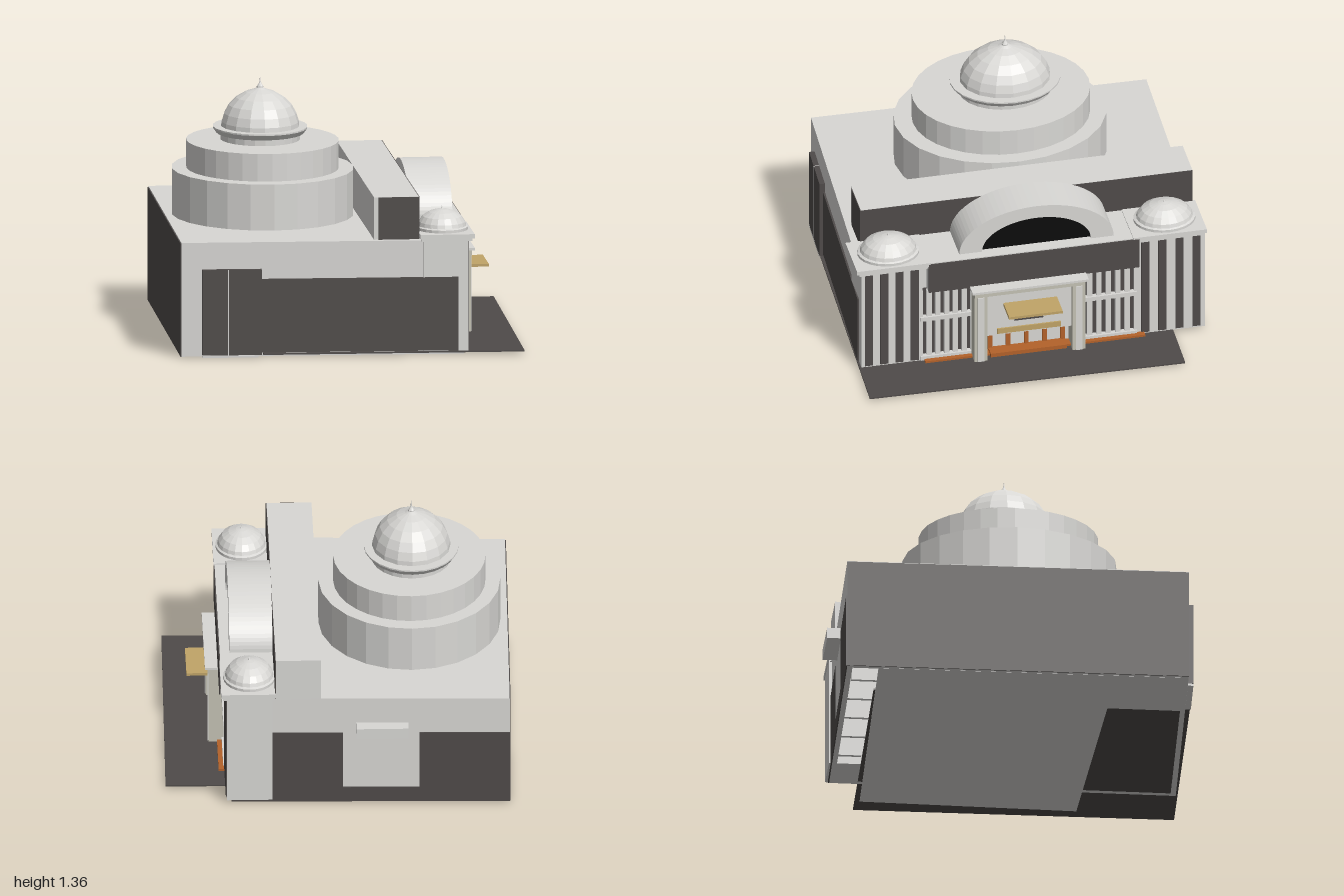
import * as THREE from 'three';

const mat = (name, color) => Object.assign(new THREE.MeshStandardMaterial({ color }), { name });
const white = mat('white plaster', 0xd8d7d4);
const dark = mat('dark stone', 0x4f4b49);
const black = mat('black glass', 0x0c0c0c);
const gold = mat('gold', 0xc0a468);
const orange = mat('orange wood', 0xb3622a);
const stone = mat('pale stone', 0xc4c2b4);

const faceted = (geo) => {
  const g = geo.toNonIndexed();
  g.computeVertexNormals();
  return g;
};

export function createModel() {
  const root = new THREE.Group();
  root.name = 'domedHall';

  const add = (name, geo, material, parent = root) => {
    const m = new THREE.Mesh(geo, material);
    m.name = name;
    parent.add(m);
    return m;
  };
  // Box given by its minimum and maximum on each axis
  const box = (name, material, x0, x1, y0, y1, z0, z1, parent = root) => {
    const m = add(name, new THREE.BoxGeometry(x1 - x0, y1 - y0, z1 - z0), material, parent);
    m.position.set((x0 + x1) / 2, (y0 + y1) / 2, (z0 + z1) / 2);
    return m;
  };
  // Upright prism over a plan outline of [x, z] points
  const prism = (name, material, plan, y0, y1, hole) => {
    const pts = (p) => p.map(([x, z]) => new THREE.Vector2(x, -z));
    const shape = new THREE.Shape(pts(plan));
    if (hole) shape.holes.push(new THREE.Path(pts(hole)));
    const g = new THREE.ExtrudeGeometry(shape, { depth: y1 - y0, bevelEnabled: false });
    g.rotateX(-Math.PI / 2).translate(0, y0, 0);
    return add(name, g, material);
  };
  // Outline drawn across z and y, pushed out along x
  const alongX = (name, material, shape, x0, x1, z, y) => {
    const g = new THREE.ExtrudeGeometry(shape, { depth: x1 - x0, bevelEnabled: false, curveSegments: 20 });
    g.rotateY(Math.PI / 2);
    const m = add(name, g, material);
    m.position.set(x0, y, z);
    return m;
  };
  const lathe = (name, material, pts, sides, x, z, stretch) => {
    const g = new THREE.LatheGeometry(pts.map(([r, y]) => new THREE.Vector2(r, y)), sides);
    const m = add(name, faceted(g), material);
    m.position.set(x, 0, z);
    m.scale.z = stretch;
    return m;
  };

  // Slightly skewed plan of the hall
  const A = [-0.915, -0.94], B = [0.58, -0.905], C = [0.58, 0.965], D = [-0.94, 0.9];
  const inner = [[-0.89, -0.91], [0.55, -0.88], [0.55, 0.935], [-0.91, 0.875]];
  prism('walls', white, [A, B, C, D], 0.005, 0.6, inner);
  prism('roof', white, [A, B, C, D], 0.6, 0.625);
  prism('floor', white, [[-0.9, -0.77], [0.8, -0.72], [0.82, 0.45], [-0.5, 0.5], [-0.5, 0.92], [-0.92, 0.88]], 0.004, 0.012);
  prism('forecourt', dark, [[-0.6, -0.77], [0.93, -0.745], [0.905, 0.985], [-0.5, 0.945]], 0.014, 0.022);
  for (let i = 0; i < 6; i++) {
    const x = -0.7 + i * 0.24;
    box('innerPier', white, x - 0.01, x + 0.01, 0.02, 0.6, -0.9, -0.76);
  }

  // Panel lying along a wall line, between two x positions
  const wallPanel = (name, material, p, q, x0, x1, y0, y1, out) => {
    const zAt = (x) => p[1] + (q[1] - p[1]) * (x - p[0]) / (q[0] - p[0]);
    const a = zAt(x0), b = zAt(x1);
    return prism(name, material, [[x0, a], [x1, b], [x1, b + out], [x0, a + out]], y0, y1);
  };

  // Front wall cladding
  wallPanel('frontCladding', dark, D, C, -0.51, 0.55, 0.025, 0.425, 0.01);
  wallPanel('frontBlock', dark, D, C, -0.83, -0.51, 0.015, 0.48, 0.03);
  wallPanel('frontBlockSeam', white, D, C, -0.693, -0.687, 0.015, 0.48, 0.032);
  wallPanel('frontBlockBase', white, D, C, -0.83, -0.53, 0.002, 0.014, 0.03);

  // Back wall cladding around a plain bay with a balcony
  wallPanel('backCladding', dark, A, B, -0.915, -0.43, 0.005, 0.42, -0.006);
  wallPanel('backCladding', dark, A, B, -0.02, 0.58, 0.005, 0.42, -0.006);
  wallPanel('backCladding', dark, A, B, -0.43, -0.02, 0.005, 0.09, -0.006);
  box('balcony', white, -0.37, -0.09, 0.42, 0.48, -1, -0.92);

  // Rear end wall cladding
  prism('endCladding', dark, [[A[0] - 0.005, A[1]], A, D, [D[0] - 0.005, D[1]]], 0.005, 0.62);

  // Stepped oval drums and main dome
  lathe('lowerDrum', white, [[0.49, 0.62], [0.49, 0.875], [0.001, 0.875]], 24, -0.4, -0.02, 1.18);
  lathe('upperDrum', white, [[0.41, 0.87], [0.41, 1.025], [0.001, 1.025]], 32, -0.4, -0.025, 1.18);
  lathe('domeNeck', white, [[0.215, 1.02], [0.215, 1.06], [0.235, 1.06], [0.255, 1.088],
    [0.255, 1.096], [0.2, 1.096]], 24, -0.41, -0.05, 1.18);
  lathe('mainDome', white, [[0.212, 1.085], [0.209, 1.12], [0.195, 1.165], [0.17, 1.21], [0.13, 1.25],
    [0.08, 1.28], [0.035, 1.295], [0.015, 1.305]], 16, -0.41, -0.05, 1.17);
  lathe('mainFinial', white, [[0.018, 1.295], [0.018, 1.31], [0.008, 1.325], [0.004, 1.335], [0.0005, 1.365]],
    8, -0.41, -0.05, 1);

  // Long roof parapet, dark on its front and entrance faces
  box('roofParapet', white, 0.1, 0.342, 0.62, 0.856, -0.915, 0.91);
  box('parapetEndFace', dark, 0.125, 0.345, 0.625, 0.855, 0.91, 0.914);
  box('parapetLongFace', dark, 0.342, 0.346, 0.625, 0.855, -0.915, 0.912);

  // Barrel arch over the entrance
  const arch = new THREE.Shape();
  arch.moveTo(0.42, 0);
  arch.absellipse(0, 0, 0.425, 0.25, 0, Math.PI, false);
  arch.lineTo(-0.3, 0);
  arch.absellipse(0, 0, 0.3, 0.175, Math.PI, 0, true);
  arch.closePath();
  alongX('barrelArch', white, arch, 0.345, 0.578, -0.005, 0.655);
  const lunette = new THREE.Shape();
  lunette.absellipse(0, 0, 0.301, 0.176, 0, Math.PI, false);
  lunette.closePath();
  alongX('archWindow', black, lunette, 0.55, 0.558, -0.005, 0.655);

  // Fascia between the towers
  box('fascia', white, 0.34, 0.63, 0.47, 0.655, -0.56, 0.6);
  box('fasciaFace', dark, 0.63, 0.636, 0.47, 0.65, -0.56, 0.6);

  // Corner towers with stripes, caps and small domes
  for (const [z0, z1, zc] of [[0.63, 0.965, 0.79], [-0.925, -0.55, -0.73]]) {
    box('tower', white, 0.36, 0.605, 0.02, 0.64, z0, z1);
    const n = 4, step = (z1 - z0) / n;
    for (let i = 0; i < n; i++) {
      const z = z0 + step * (i + 0.5);
      box('towerStripe', dark, 0.605, 0.61, 0.03, 0.615, z - 0.022, z + 0.022);
    }
    box('towerCapLower', white, 0.35, 0.625, 0.62, 0.637, zc - 0.19, zc + 0.19);
    box('towerCap', white, 0.342, 0.635, 0.637, 0.66, zc - 0.2, zc + 0.205);
    lathe('towerDomeBase', white, [[0.14, 0.655], [0.14, 0.675], [0.12, 0.685]], 24, 0.48, zc, 1.2);
    lathe('towerDome', white, [[0.132, 0.675], [0.125, 0.7], [0.105, 0.73], [0.07, 0.753], [0.03, 0.766],
      [0.006, 0.77], [0.0005, 0.785]], 20, 0.48, zc, 1.18);
  }

  // Slatted screens either side of the gate
  for (const [z0, z1] of [[0.35, 0.64], [-0.55, -0.24]]) {
    box('screenBack', dark, 0.58, 0.585, 0.04, 0.47, z0, z1);
    const n = 6, step = (z1 - z0) / n;
    for (let i = 0; i <= n; i++) {
      const z = z0 + step * i;
      box('screenSlat', white, 0.585, 0.605, 0.04, 0.465, z - 0.014, z + 0.014);
    }
    box('screenRail', white, 0.585, 0.615, 0.275, 0.3, z0, z1);
    box('screenSill', white, 0.585, 0.615, 0.025, 0.05, z0, z1);
  }

  // Entrance gate
  const gate = new THREE.Group();
  gate.name = 'gate';
  root.add(gate);
  const gz = 0.055;
  for (const s of [-1, 1]) {
    const z = gz + s * 0.27;
    box('gatePillar', stone, 0.58, 0.685, 0.02, 0.45, z - 0.035, z + 0.035, gate);
    box('gatePillarRib', white, 0.685, 0.69, 0.02, 0.43, z - 0.018, z + 0.018, gate);
  }
  box('gateLintel', stone, 0.58, 0.69, 0.435, 0.465, gz - 0.305, gz + 0.305, gate);
  box('gateCornice', white, 0.6, 0.705, 0.465, 0.478, gz - 0.32, gz + 0.32, gate);
  box('gatePanel', white, 0.58, 0.655, 0.16, 0.437, gz - 0.237, gz + 0.237, gate);
  box('gateBand', gold, 0.655, 0.663, 0.17, 0.202, gz - 0.175, gz + 0.175, gate);
  box('canopy', gold, 0.655, 0.8, 0.345, 0.36, -0.1, 0.195, gate);
  const fan = new THREE.Shape();
  fan.absellipse(0, 0, 0.08, 0.042, 0, Math.PI, false);
  fan.closePath();
  alongX('fanlight', dark, fan, 0.655, 0.66, gz, 0.24);
  box('doorWall', white, 0.58, 0.586, 0.03, 0.16, gz - 0.237, gz + 0.237, gate);
  for (let i = 0; i < 5; i++) {
    const z = gz - 0.2 + i * 0.1;
    box('doorPost', orange, 0.586, 0.6, 0.03, 0.16, z - 0.012, z + 0.012, gate);
  }

  // Timber deck and steps
  box('deck', orange, 0.3, 0.64, 0.02, 0.034, -0.59, 0.62);
  box('gateStep', orange, 0.59, 0.66, 0.022, 0.045, gz - 0.21, gz + 0.21);

  return root;
}
